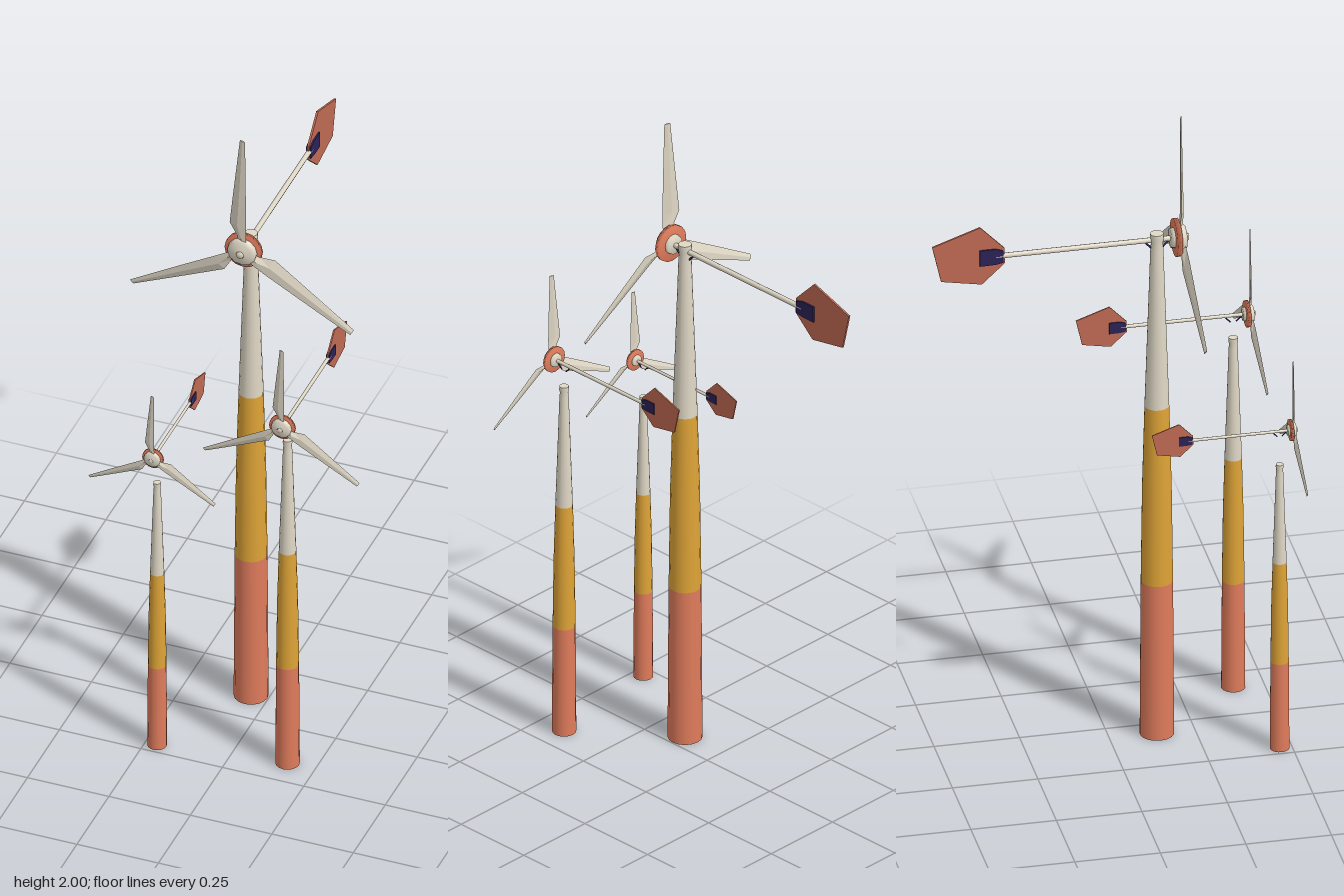
import * as THREE from 'three';

const mat = (name, color, opts = {}) => new THREE.MeshStandardMaterial({ name, color, ...opts });

export function createModel() {
  const cream = mat('cream', 0xe0d8c6);
  const creamFlat = cream;
  const red = mat('coral red', 0xe07c5c);
  const ochre = mat('ochre', 0xdfa437);
  const brick = mat('brick red', 0xc06b54);
  const navy = mat('navy', 0x2b2257);

  const part = (name, geometry, material) => {
    const mesh = new THREE.Mesh(geometry, material);
    mesh.name = name;
    return mesh;
  };
  const lathe = (pts, n = 16) => new THREE.LatheGeometry(pts.map(p => new THREE.Vector2(...p)), n);
  // lathe turned to run along z, from back to front
  const latheZ = (pts, n = 16) => lathe(pts, n).rotateX(Math.PI / 2);

  // round rod between two points
  const rod = (name, a, b, r, material) => {
    const from = new THREE.Vector3(...a), dir = new THREE.Vector3(...b).sub(from);
    const mesh = part(name, new THREE.CylinderGeometry(r, r, dir.length(), 8), material);
    mesh.position.copy(from).addScaledVector(dir, 0.5);
    mesh.quaternion.setFromUnitVectors(new THREE.Vector3(0, 1, 0), dir.normalize());
    return mesh;
  };

  // blade skinned over diamond sections: [radius, left, right, thickness, pitch]
  function bladeGeometry() {
    const sections = [
      [0.025, -0.012, 0.012, 0.012, 0.004],
      [0.05, -0.018, 0.014, 0.012, 0.006],
      [0.09, -0.041, 0.014, 0.011, 0.007],
      [0.22, -0.027, 0.013, 0.008, 0.005],
      [0.39, -0.008, 0.01, 0.005, 0.003],
    ];
    const pos = [], idx = [];
    for (const [y, l, r, t, p] of sections) {
      const m = (l + r) / 2;
      pos.push(l, y, -p, m, y, t / 2, r, y, p, m, y, -t / 2);
    }
    for (let i = 0; i < sections.length - 1; i++)
      for (let j = 0; j < 4; j++) {
        const a = i * 4 + j, b = i * 4 + (j + 1) % 4;
        idx.push(a, b, b + 4, a, b + 4, a + 4);
      }
    const e = (sections.length - 1) * 4;
    idx.push(e, e + 1, e + 2, e, e + 2, e + 3, 0, 2, 1, 0, 3, 2);
    const g = new THREE.BufferGeometry();
    g.setAttribute('position', new THREE.Float32BufferAttribute(pos, 3));
    g.setIndex(idx);
    const flat = g.toNonIndexed();
    flat.computeVertexNormals();
    return flat;
  }
  const blade = bladeGeometry();

  // flat plate in the z-y plane, from [z, y] corners
  function plate(points, thickness) {
    const shape = new THREE.Shape(points.map(([z, y]) => new THREE.Vector2(-z, y)));
    return new THREE.ExtrudeGeometry(shape, { depth: thickness, bevelEnabled: false })
      .translate(0, 0, -thickness / 2).rotateY(Math.PI / 2);
  }

  function tower() {
    const g = new THREE.Group();
    g.name = 'tower';
    g.add(
      part('towerBase', lathe([[0, 0], [0.05, 0], [0.05, 0], [0.047, 0.5]]), red),
      part('towerMiddle', lathe([[0.047, 0.5], [0.043, 0.81], [0.036, 1.07]]), ochre),
      part('towerUpper', lathe([[0.036, 1.07], [0.019, 1.58], [0.017, 1.6], [0.02, 1.615], [0.019, 1.63]]), cream),
    );
    const cap = part('towerCap', new THREE.CircleGeometry(0.019, 16).rotateX(-Math.PI / 2), cream);
    cap.position.y = 1.63;
    g.add(cap);
    return g;
  }

  // rotor, boom and tail, measured from the hub height above the tower axis
  function head() {
    const g = new THREE.Group();
    g.name = 'head';
    const rotor = new THREE.Group();
    rotor.name = 'rotor';
    rotor.position.z = 0.07;
    for (let i = 0; i < 3; i++) {
      const b = part('blade', blade, creamFlat);
      b.rotation.z = i * Math.PI * 2 / 3;
      rotor.add(b);
    }
    rotor.add(
      part('hubBack', latheZ([[0, -0.032], [0.028, -0.032], [0.03, -0.019]]), cream),
      part('hubRing', latheZ([[0, -0.02], [0.056, -0.02], [0.056, -0.005], [0, -0.005]]), red),
      part('spinner', latheZ([[0.044, -0.005], [0.044, 0.005], [0.034, 0.013], [0.012, 0.018]], 12), cream),
      part('nose', latheZ([[0.012, 0.016], [0.01, 0.022], [0, 0.023]], 8), cream),
    );
    g.add(rotor);
    g.add(rod('boom', [0, 0, 0.045], [0, 0, -0.47], 0.008, cream));

    // short braces under the boom
    for (const s of [1, -1])
      g.add(rod('brace', [0, -0.006, s * 0.035], [0, -0.03, s * 0.012], 0.003, navy));

    // tail vane and its clamp
    g.add(part('tailVane', plate([[-0.446, 0.025], [-0.517, 0.099], [-0.657, 0.05],
      [-0.631, -0.064], [-0.512, -0.086], [-0.444, -0.023]], 0.006), brick));
    g.add(part('tailClamp', plate([[-0.45, 0.018], [-0.472, 0.026], [-0.519, 0.026],
      [-0.519, -0.025], [-0.472, -0.024], [-0.45, -0.02]], 0.015), navy));
    return g;
  }

  const model = new THREE.Group();
  model.name = 'windTurbines';
  // x, z, size, hub height
  const turbines = [
    ['largeTurbine', -0.053, 0.14, 1, 1.61],
    ['mediumTurbine', 0.165, 0.41, 0.7, 1.213],
    ['smallTurbine', -0.214, 0.464, 0.568, 1.033],
  ];
  for (const [name, x, z, size, hubY] of turbines) {
    const turbine = new THREE.Group();
    turbine.name = name;
    const t = tower(), h = head();
    t.scale.setScalar(size);
    h.scale.setScalar(size);
    h.position.y = hubY;
    turbine.add(t, h);
    turbine.position.set(x, 0, z);
    model.add(turbine);
  }
  return model;
}
